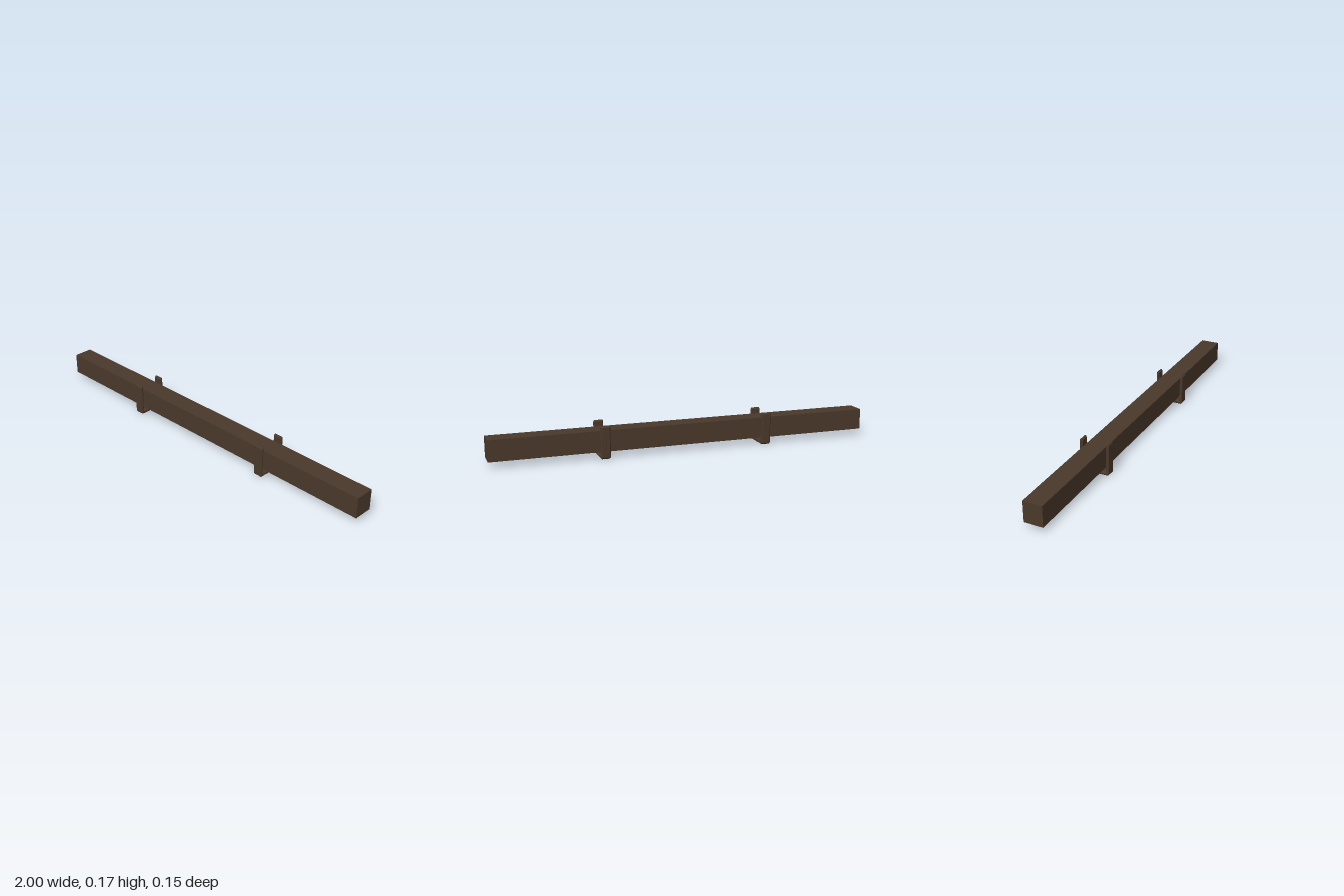
import * as THREE from 'three';

export function createModel() {
  const group = new THREE.Group();
  const wood = new THREE.MeshStandardMaterial({ color: 0x4a392b });
  wood.name = 'dark brown wood';

  // Long square beam
  const beam = new THREE.Mesh(new THREE.BoxGeometry(2, 0.108, 0.1), wood);
  beam.name = 'beam';
  beam.position.y = 0.085;
  group.add(beam);

  // U-shaped bracket: half profile mirrored, with chamfered tips and corners
  const half = [[0.061, 0.018], [0.061, 0.16], [0.067, 0.167], [0.071, 0.167], [0.077, 0.16], [0.077, 0.007], [0.07, 0]];
  const outline = [...half, ...half.map(([z, y]) => [-z, y]).reverse()];
  const shape = new THREE.Shape(outline.map(([z, y]) => new THREE.Vector2(z, y)));
  const width = 0.05, bevel = 0.005;
  const bracketGeometry = new THREE.ExtrudeGeometry(shape, {
    depth: width - 2 * bevel,
    bevelEnabled: true,
    bevelSegments: 1,
    bevelThickness: bevel,
    bevelSize: bevel,
    bevelOffset: -bevel,
  });
  bracketGeometry.translate(0, 0, bevel - width / 2);
  bracketGeometry.rotateY(Math.PI / 2);

  for (const [name, x] of [['leftBracket', 0.43], ['rightBracket', -0.43]]) {
    const bracket = new THREE.Mesh(bracketGeometry, wood);
    bracket.name = name;
    bracket.position.x = x;
    group.add(bracket);
  }
  return group;
}
